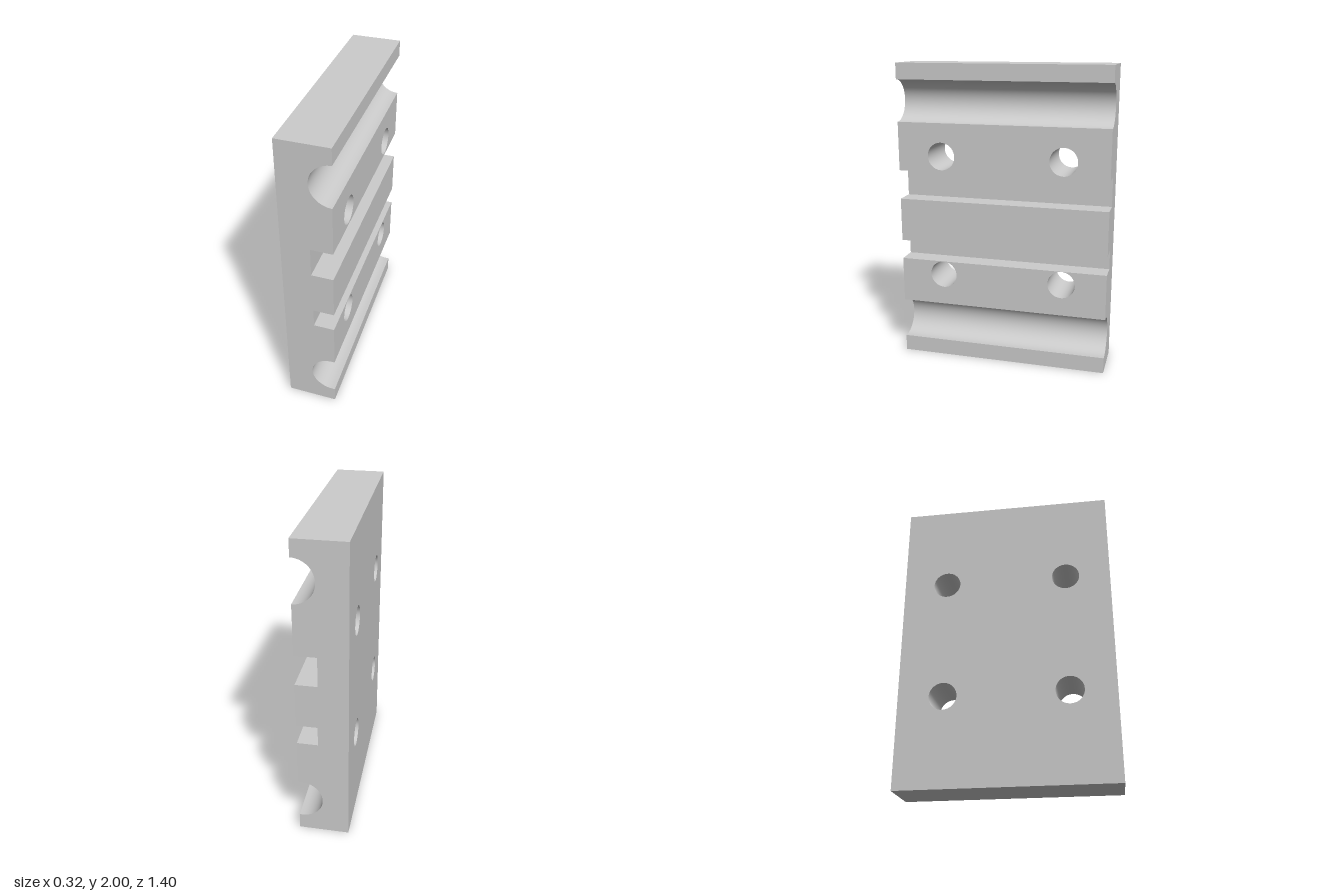
import * as THREE from 'three';
import { toCreasedNormals } from 'three/addons/utils/BufferGeometryUtils.js';

const BACK = -0.162, FACE = 0.16, HEIGHT = 2, HALF = 0.7;
const HOLE_R = 0.091, HOLE_Z = 0.405, HOLE_Y = [0.593, 1.405];
const grey = new THREE.MeshStandardMaterial({ color: 0xcccccc });
const greyInside = new THREE.MeshStandardMaterial({ color: 0xcccccc, side: THREE.BackSide });

function named(name, geometry, material = grey) {
  const mesh = new THREE.Mesh(geometry, material);
  mesh.name = name;
  return mesh;
}

// Round groove outline, from its lower lip around to its upper lip
function roundGroove(cx, cy, r, steps = 32) {
  const points = [];
  for (let i = 0; i <= steps; i++) {
    const a = -Math.PI / 2 - (Math.PI * i) / steps;
    points.push([cx + r * Math.cos(a), cy + r * Math.sin(a)]);
  }
  return points;
}

// Square groove outline, from its lower lip to its upper lip
const squareGroove = (x, y0, y1) => [[FACE, y0], [x, y0], [x, y1], [FACE, y1]];

// Flat panel in the y-z plane, drilled at the given heights
function drilledPanel(name, x, y0, y1, heights, turn) {
  const shape = new THREE.Shape();
  shape.moveTo(-HALF, y0).lineTo(HALF, y0).lineTo(HALF, y1).lineTo(-HALF, y1).closePath();
  for (const y of heights) {
    for (const s of [-1, 1]) {
      shape.holes.push(new THREE.Path().absarc(s * HOLE_Z, y, HOLE_R, 0, Math.PI * 2, true));
    }
  }
  const geometry = new THREE.ShapeGeometry(shape, 24);
  geometry.rotateY(turn * Math.PI / 2).translate(x, 0, 0);
  return named(name, geometry);
}

export function createModel() {
  const group = new THREE.Group();
  group.name = 'groovedBlock';

  // Cross-section of the block, counter-clockwise
  const profile = [
    [BACK, 0], [FACE, 0],
    [FACE, 0.108], ...roundGroove(0.141, 0.244, 0.136), [FACE, 0.38],
    ...squareGroove(0.028, 0.685, 0.815),
    ...squareGroove(0.022, 1.105, 1.3),
    ...roundGroove(FACE, 1.7585, 0.1365),
    [FACE, HEIGHT], [BACK, HEIGHT],
  ];

  // Walls along the block, leaving out the faces that carry holes
  const positions = [];
  profile.forEach(([ax, ay], i) => {
    const [bx, by] = profile[(i + 1) % profile.length];
    const middle = (ay + by) / 2;
    const drilled = Math.abs(ax - bx) < 1e-4 && HOLE_Y.some((y) => Math.abs(y - middle) < 0.1);
    if (drilled || (ax === BACK && bx === BACK)) return;
    positions.push(
      ax, ay, HALF, ax, ay, -HALF, bx, by, -HALF,
      ax, ay, HALF, bx, by, -HALF, bx, by, HALF);
  });
  const walls = new THREE.BufferGeometry();
  walls.setAttribute('position', new THREE.Float32BufferAttribute(positions, 3));
  group.add(named('groovedWalls', toCreasedNormals(walls, Math.PI / 6)));

  // End faces
  const section = new THREE.Shape(profile.map(([x, y]) => new THREE.Vector2(x, y)));
  const front = named('frontEnd', new THREE.ShapeGeometry(section));
  front.position.z = HALF;
  const back = named('backEnd', new THREE.ShapeGeometry(section), greyInside);
  back.position.z = -HALF;
  group.add(front, back);

  // Drilled faces
  group.add(
    drilledPanel('lowerRibFace', FACE, 0.38, 0.685, [HOLE_Y[0]], 1),
    drilledPanel('upperRibFace', FACE, 1.3, 1.622, [HOLE_Y[1]], 1),
    drilledPanel('flatSide', BACK, 0, HEIGHT, HOLE_Y, -1));

  // Hole bores
  for (const y of HOLE_Y) {
    for (const s of [-1, 1]) {
      const bore = new THREE.CylinderGeometry(HOLE_R, HOLE_R, FACE - BACK, 48, 1, true);
      bore.rotateZ(Math.PI / 2).translate((FACE + BACK) / 2, y, s * HOLE_Z);
      group.add(named('holeBore', bore, greyInside));
    }
  }
  return group;
}
